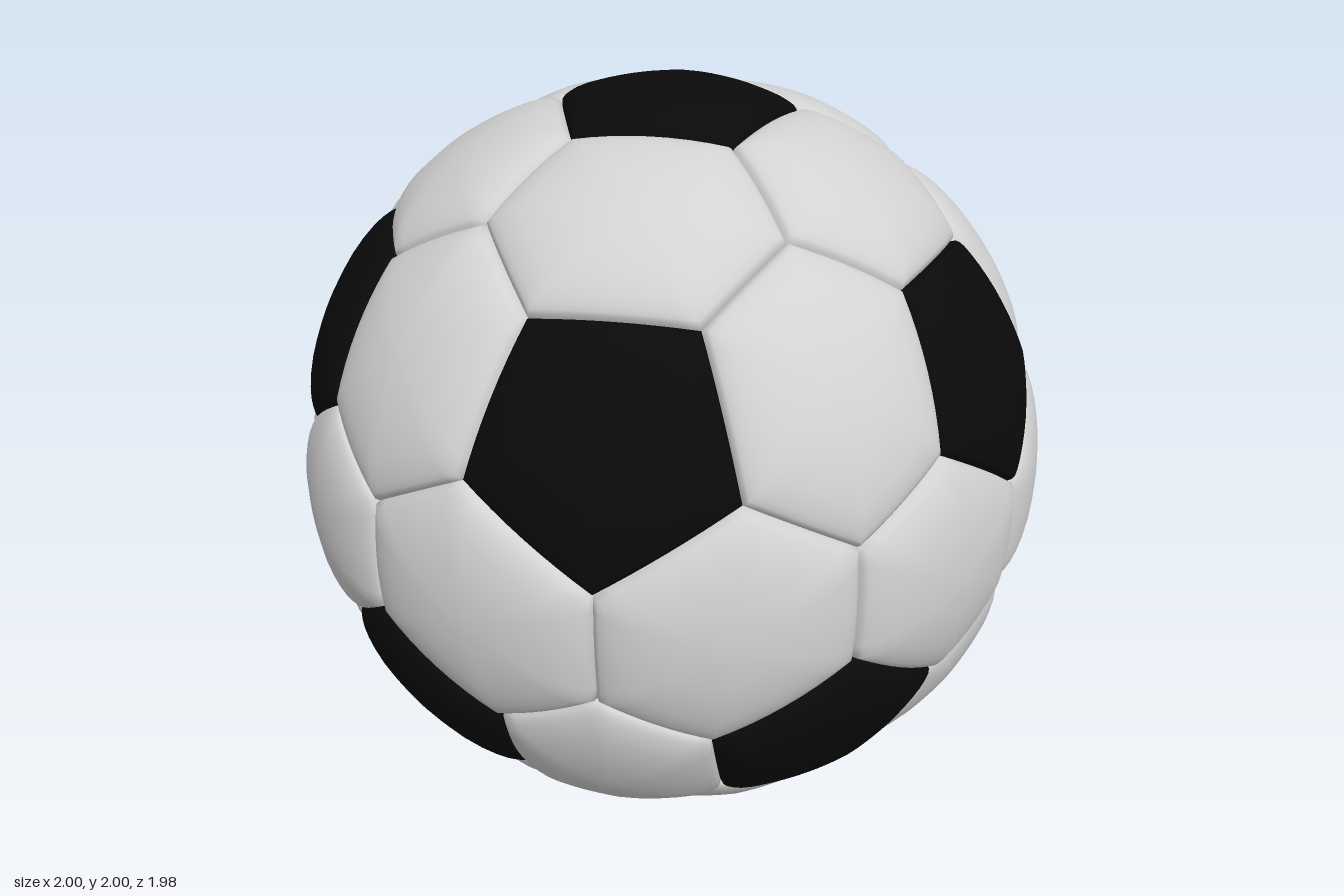
import * as THREE from 'three';

const CORNER_ANGLE = THREE.MathUtils.degToRad(19.7); // pentagon centre to its corners
const STEPS = 8; // divisions along each panel edge
// Puffed panel profile: [fraction from centre to seam, radius]
const PROFILE = [[0.15, 1], [0.3, 0.999], [0.45, 0.998], [0.6, 0.995], [0.72, 0.991],
  [0.82, 0.986], [0.9, 0.979], [0.95, 0.973], [0.98, 0.966], [1, 0.953]];

// Twelve pentagon centres: two poles and two staggered rings of five
function pentagonCentres() {
  const points = [new THREE.Vector3(0, 1, 0), new THREE.Vector3(0, -1, 0)];
  const y = 1 / Math.sqrt(5), r = 2 / Math.sqrt(5);
  for (let i = 0; i < 5; i++) {
    const a = (i * Math.PI * 2) / 5;
    points.push(new THREE.Vector3(r * Math.sin(a), y, -r * Math.cos(a)));
    points.push(new THREE.Vector3(r * Math.sin(a), -y, r * Math.cos(a)));
  }
  return points;
}

// Point on the unit sphere at a given angle from a towards b
function towards(a, b, angle) {
  const side = b.clone().addScaledVector(a, -a.dot(b)).normalize();
  return a.clone().multiplyScalar(Math.cos(angle)).addScaledVector(side, Math.sin(angle));
}

// Corners in anticlockwise order seen from outside
function sortAround(centre, corners) {
  const u = towards(centre, corners[0], Math.PI / 2);
  const v = centre.clone().cross(u);
  const angle = (p) => Math.atan2(p.dot(v), p.dot(u));
  return [...corners].sort((p, q) => angle(p) - angle(q));
}

// Concentric rings from the panel centre to its sunken seam
function panelGeometry(centre, unsorted) {
  const corners = sortAround(centre, unsorted);
  const outline = [];
  corners.forEach((corner, i) => {
    const next = corners[(i + 1) % corners.length];
    for (let k = 0; k < STEPS; k++) outline.push(corner.clone().lerp(next, k / STEPS).normalize());
  });
  const n = outline.length;
  const positions = [...centre.toArray()];
  const index = [];
  PROFILE.forEach(([s, radius], ring) => {
    outline.forEach((edge, i) => {
      positions.push(...centre.clone().lerp(edge, s).setLength(radius).toArray());
      const j = (i + 1) % n;
      const a = 1 + ring * n + i, b = 1 + ring * n + j;
      if (ring === 0) index.push(0, a, b);
      else index.push(a - n, a, b, a - n, b, b - n);
    });
  });
  const geometry = new THREE.BufferGeometry();
  geometry.setAttribute('position', new THREE.Float32BufferAttribute(positions, 3));
  geometry.setIndex(index);
  geometry.computeVertexNormals();
  return geometry;
}

export function createModel() {
  const white = new THREE.MeshStandardMaterial({ color: 0xd2d2d2 });
  white.name = 'white panel';
  const black = new THREE.MeshStandardMaterial({ color: 0x0a0a0a });
  black.name = 'black panel';

  const ball = new THREE.Group();
  ball.name = 'ball';
  const addPanel = (name, centre, corners, material) => {
    const mesh = new THREE.Mesh(panelGeometry(centre, corners), material);
    mesh.name = name;
    ball.add(mesh);
  };

  // Points where three hexagons meet, one for each trio of neighbouring pentagons
  const centres = pentagonCentres();
  const near = (a, b) => a !== b && a.dot(b) > 0.4;
  const joints = [];
  centres.forEach((a, i) => centres.forEach((b, j) => centres.forEach((c, k) => {
    if (i < j && j < k && near(a, b) && near(b, c) && near(a, c)) {
      joints.push({ trio: [a, b, c], point: a.clone().add(b).add(c).normalize() });
    }
  })));

  centres.forEach((a, i) => {
    // Black pentagon
    const around = joints.filter((joint) => joint.trio.includes(a));
    addPanel('blackPentagon', a, around.map((joint) => towards(a, joint.point, CORNER_ANGLE)), black);

    // White hexagon between each pair of neighbouring pentagons
    centres.slice(i + 1).filter((b) => near(a, b)).forEach((b) => {
      const corners = around.filter((joint) => joint.trio.includes(b)).flatMap(({ point }) => [
        point, towards(a, point, CORNER_ANGLE), towards(b, point, CORNER_ANGLE)]);
      addPanel('whiteHexagon', a.clone().add(b).normalize(), corners, white);
    });
  });

  ball.position.y = 1;
  ball.rotation.y = 0.035;
  const model = new THREE.Group();
  model.name = 'panelledBall';
  model.add(ball);
  return model;
}
